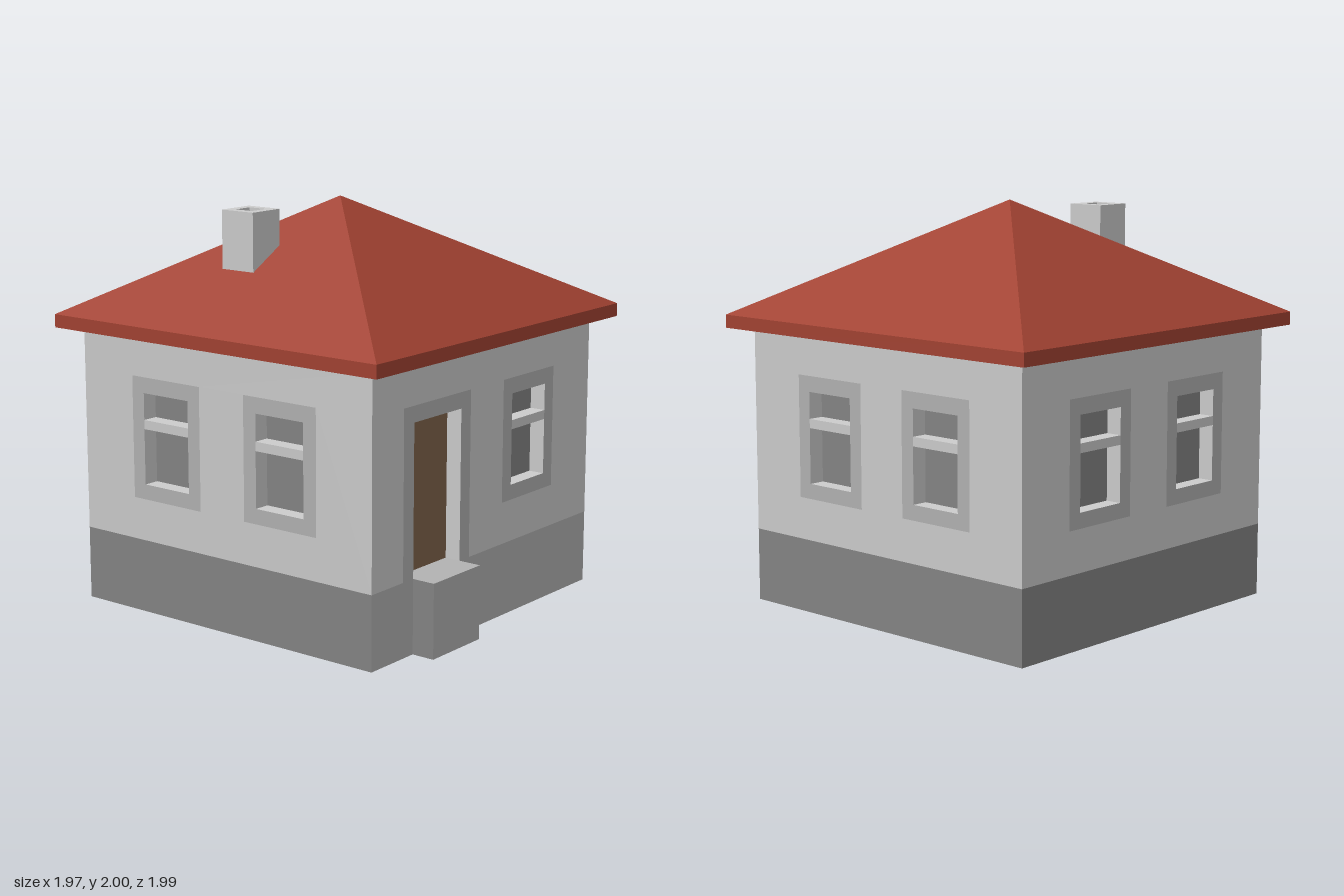
import * as THREE from 'three';

const mat = (color) => new THREE.MeshStandardMaterial({ color, side: THREE.DoubleSide, flatShading: true });
const R = Math.PI / 2;
const HALF = 0.888, EAVE = 0.987, PLINTH = 0.363, WALL_TOP = 1.375, DEPTH = 0.08;

export function createModel() {
  const house = new THREE.Group();
  house.name = 'house';
  const grey = mat(0xcccccc), trim = mat(0xb2b2b2), dark = mat(0x848484);
  const red = mat(0xa24232), brown = mat(0x80634b);

  function add(parent, name, geometry, material, x = 0, y = 0, z = 0, rx = 0, ry = 0) {
    const mesh = new THREE.Mesh(geometry, material);
    mesh.name = name;
    mesh.position.set(x, y, z);
    mesh.rotation.set(rx, ry, 0);
    parent.add(mesh);
    return mesh;
  }

  const group = (parent, name) => {
    const g = new THREE.Group();
    g.name = name;
    parent.add(g);
    return g;
  };

  // Rectangles are [x0, x1, y0, y1]
  const corners = ([x0, x1, y0, y1]) => [[x0, y0], [x1, y0], [x1, y1], [x0, y1]];
  const toVectors = (points) => points.map(([x, y]) => new THREE.Vector2(x, y));

  // Flat panel with rectangular holes
  function panel(outline, holes = []) {
    const shape = new THREE.Shape(toVectors(outline));
    holes.forEach((h) => shape.holes.push(new THREE.Path(toVectors(corners(h)))));
    return new THREE.ShapeGeometry(shape);
  }

  // Sunken opening: four reveals and a back
  function pocket(parent, name, [x0, x1, y0, y1], back, floor = true) {
    const g = group(parent, name);
    const w = x1 - x0, h = y1 - y0, cx = (x0 + x1) / 2, cy = (y0 + y1) / 2, z = -DEPTH / 2;
    add(g, 'back', new THREE.PlaneGeometry(w, h), back, cx, cy, -DEPTH);
    add(g, 'jamb', new THREE.PlaneGeometry(DEPTH, h), grey, x0, cy, z, 0, R);
    add(g, 'jamb', new THREE.PlaneGeometry(DEPTH, h), grey, x1, cy, z, 0, -R);
    add(g, 'lintel', new THREE.PlaneGeometry(w, DEPTH), grey, cx, y1, z, R);
    if (floor) add(g, 'sill', new THREE.PlaneGeometry(w, DEPTH), grey, cx, y0, z, -R);
  }

  // Window: flush surround, crossbar and two sunken panes
  const frameRect = (c) => [c - 0.216, c + 0.216, 0.57, 1.175];
  function window_(parent, c) {
    const g = group(parent, 'window');
    const x0 = c - 0.142, x1 = c + 0.142;
    add(g, 'windowSurround', panel(corners(frameRect(c)), [[x0, x1, 0.645, 1.097]]), trim);
    add(g, 'crossbar', panel(corners([x0, x1, 0.92, 0.965])), grey);
    pocket(g, 'lowerPane', [x0, x1, 0.645, 0.92], dark);
    pocket(g, 'upperPane', [x0, x1, 0.965, 1.097], dark);
  }

  // Square tube or pyramid from a four-sided cylinder
  function square(topHalf, bottomHalf, height) {
    const g = new THREE.CylinderGeometry(topHalf * Math.SQRT2, bottomHalf * Math.SQRT2, height, 4, 1, true);
    return g.rotateY(Math.PI / 4);
  }

  const body = group(house, 'body');
  body.position.z = -0.005;
  const side = (name, angle) => {
    const g = group(body, name);
    g.rotation.y = angle;
    g.position.set(Math.sin(angle) * HALF, 0, Math.cos(angle) * HALF);
    return g;
  };

  // Side and back walls, two windows each
  [['leftWall', R], ['backWall', Math.PI], ['rightWall', -R]].forEach(([name, angle]) => {
    const g = side(name, angle);
    const centres = [-0.353, 0.353];
    add(g, 'wall', panel(corners([-HALF, HALF, PLINTH, WALL_TOP]), centres.map(frameRect)), grey);
    add(g, 'plinth', panel(corners([-HALF, HALF, 0, PLINTH])), dark);
    centres.forEach((c) => window_(g, c));
  });

  // Front wall, notched for the door surround
  const front = side('frontWall', 0);
  const d0 = -0.578, d1 = -0.213, dTop = 1.097, s0 = -0.655, s1 = -0.137, sTop = 1.175;
  add(front, 'wall', panel([
    [-HALF, PLINTH], [s0, PLINTH], [s0, sTop], [s1, sTop], [s1, PLINTH],
    [HALF, PLINTH], [HALF, WALL_TOP], [-HALF, WALL_TOP],
  ], [frameRect(0.35)]), grey);
  add(front, 'plinth', panel(corners([-HALF, d0, 0, PLINTH])), trim);
  add(front, 'plinth', panel(corners([d1, HALF, 0, PLINTH])), trim);
  window_(front, 0.35);

  // Door with surround
  add(front, 'doorSurround', panel([
    [s0, PLINTH], [d0, PLINTH], [d0, dTop], [d1, dTop],
    [d1, PLINTH], [s1, PLINTH], [s1, sTop], [s0, sTop],
  ]), trim);
  pocket(front, 'door', [d0, d1, PLINTH, dTop], brown, false);

  // Door step, hollow underneath, its top running back to the door
  const step = group(front, 'doorStep');
  const out = 0.117, mid = (d0 + d1) / 2, w = d1 - d0;
  add(step, 'stepTop', new THREE.PlaneGeometry(w, out + DEPTH), trim, mid, PLINTH, (out - DEPTH) / 2, -R);
  add(step, 'stepFront', new THREE.PlaneGeometry(w, PLINTH), trim, mid, PLINTH / 2, out);
  add(step, 'stepSide', new THREE.PlaneGeometry(out, PLINTH), dark, d0, PLINTH / 2, out / 2, 0, -R);
  add(step, 'stepSide', new THREE.PlaneGeometry(out, PLINTH), dark, d1, PLINTH / 2, out / 2, 0, R);

  // Hipped roof with fascia and soffit
  const roof = group(body, 'roof');
  add(roof, 'roofSlopes', square(0, EAVE, 0.56), red, 0, 1.72);
  add(roof, 'fascia', square(EAVE, EAVE, 0.065), red, 0, 1.4075);
  add(roof, 'soffit', new THREE.RingGeometry(HALF * Math.SQRT2, EAVE * Math.SQRT2, 4, 1, Math.PI / 4),
    grey, 0, WALL_TOP, 0, R);

  // Chimney with sunken flue
  const chimney = group(house, 'chimney');
  chimney.position.set(-0.466, 1.965, -0.178);
  const c = 0.097, f = 0.05;
  add(chimney, 'stack', square(c, c, 0.29), grey, 0, -0.145);
  const cap = group(chimney, 'chimneyTop');
  cap.rotation.x = -R;
  add(cap, 'rim', panel(corners([-c, c, -c, c]), [[-f, f, -f, f]]), grey);
  pocket(cap, 'flue', [-f, f, -f, f], dark);

  return house;
}
